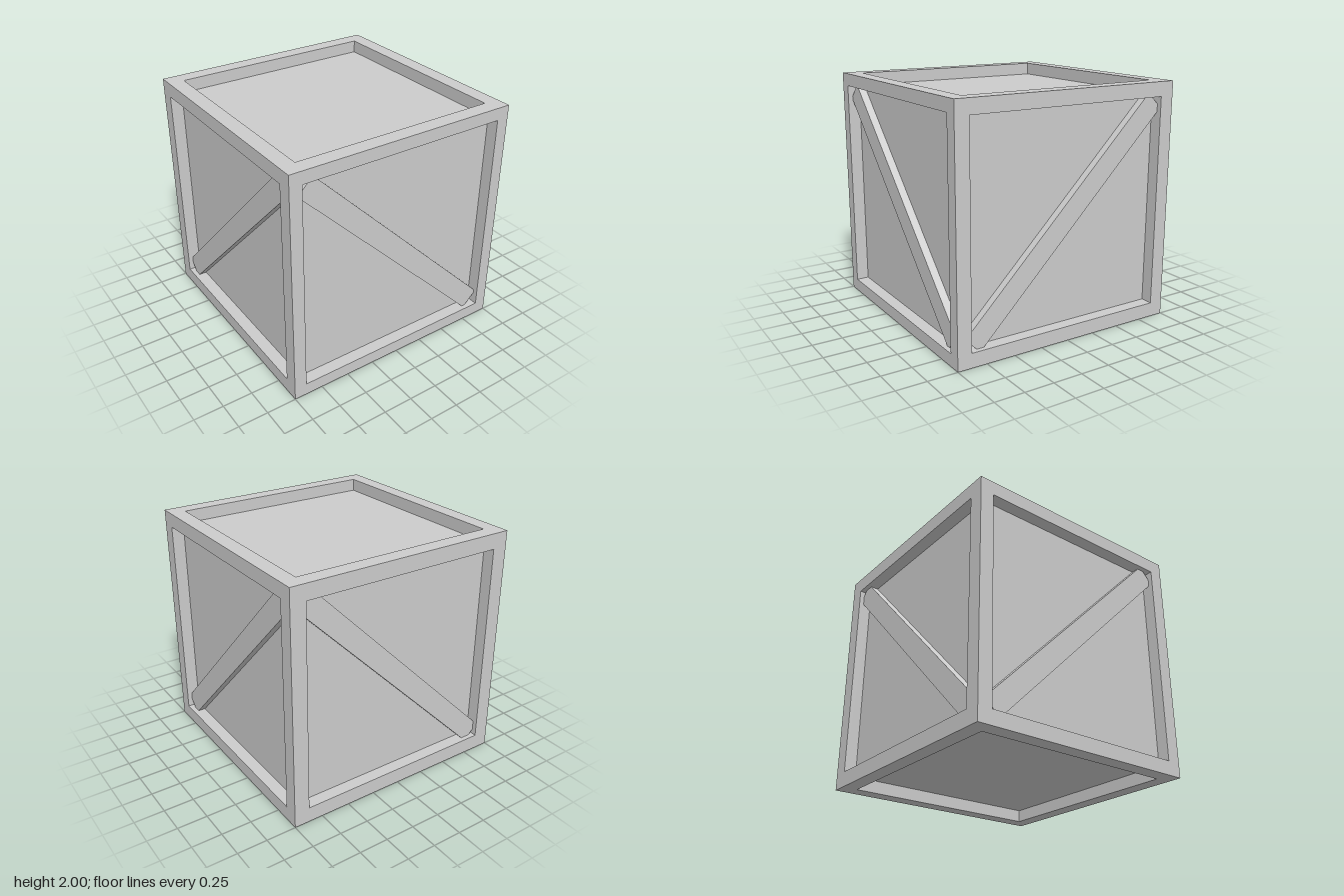
import * as THREE from 'three';

const HALF = 1;        // half the crate's edge
const PANEL = 0.895;   // distance of the recessed panels from the centre
const BRACE = 0.96;    // distance of the brace faces from the centre

const material = new THREE.MeshStandardMaterial({ color: 0xcccccc, flatShading: true });

function addMesh(parent, name, geometry) {
  const mesh = new THREE.Mesh(geometry, material);
  mesh.name = name;
  parent.add(mesh);
  return mesh;
}

// Square rim facing +z with the walls of its opening: a four-sided lathe
function rimGeometry(opening) {
  const r = Math.SQRT2;
  const profile = [
    new THREE.Vector2(HALF * r, HALF),
    new THREE.Vector2(opening * r, HALF),
    new THREE.Vector2(opening * r, PANEL),
  ];
  const geometry = new THREE.LatheGeometry(profile, 4, Math.PI / 4).rotateX(Math.PI / 2).toNonIndexed();
  geometry.computeVertexNormals();
  return geometry;
}

// One side of the crate, built facing +z; tilt is the brace direction (0 for none)
function crateSide(name, opening, tilt) {
  const side = new THREE.Group();
  side.name = name;
  addMesh(side, 'frame', rimGeometry(opening));
  addMesh(side, 'panel', new THREE.PlaneGeometry(2 * opening, 2 * opening)).position.z = PANEL;
  if (tilt) {
    // Square-ended plank whose corners tuck into the frame
    const thickness = BRACE - PANEL + 0.001;
    const brace = addMesh(side, 'diagonalBrace', new THREE.BoxGeometry(2.4, 0.18, thickness));
    brace.position.z = BRACE - thickness / 2;
    brace.rotation.z = tilt * Math.PI / 4;
  }
  return side;
}

export function createModel() {
  const crate = new THREE.Group();
  crate.name = 'crate';

  // name, half opening, brace tilt, turn about x, turn about y
  const sides = [
    ['frontSide', 0.895, -1, 0, 0],
    ['leftSide', 0.88, 1, 0, Math.PI / 2],
    ['backSide', 0.87, -1, 0, Math.PI],
    ['rightSide', 0.88, 1, 0, -Math.PI / 2],
    ['topSide', 0.87, 0, -Math.PI / 2, 0],
    ['bottomSide', 0.87, 0, Math.PI / 2, 0],
  ];
  for (const [name, opening, tilt, turnX, turnY] of sides) {
    const side = crateSide(name, opening, tilt);
    side.rotation.set(turnX, turnY, 0);
    side.position.y = HALF;
    crate.add(side);
  }
  return crate;
}
